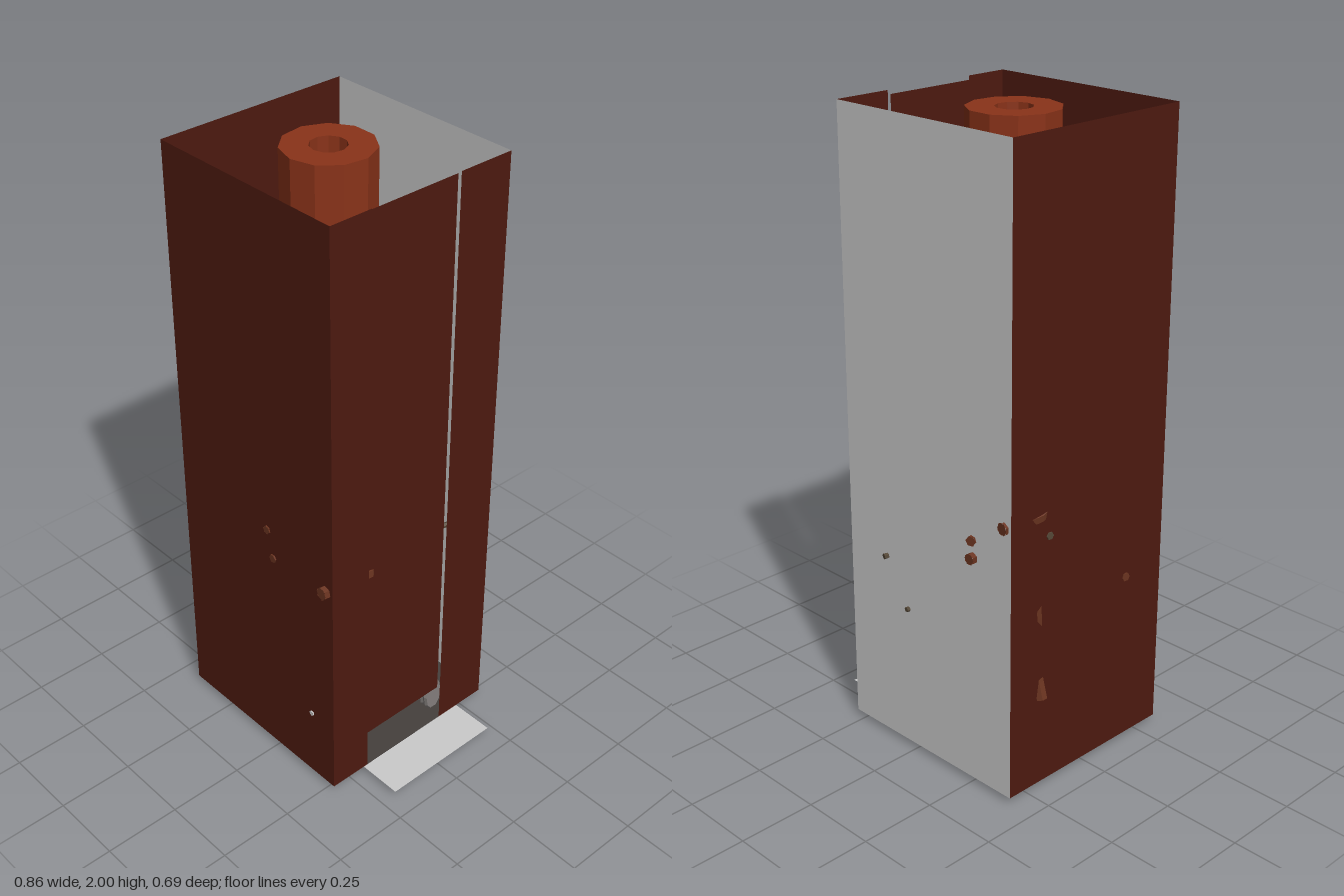
import * as THREE from 'three';

const mat = (color) => new THREE.MeshStandardMaterial({ color, flatShading: true, side: THREE.DoubleSide });
const M = {
  rust: mat(0x4e1a10), grey: mat(0xcccccc), floor: mat(0x45403d), pipe: mat(0x8a3319),
  cable: mat(0x6a3420), thin: mat(0x554838), base: mat(0x85807e), white: mat(0xe6e6e6),
};

// Shaft limits
const X0 = -0.415, X1 = 0.278, Z = 0.328, Y0 = 0.02, Y1 = 2;
const CX = -0.1, CZ = -0.005;

export function createModel() {
  const root = new THREE.Group();
  const add = (name, geo, material) => {
    const mesh = new THREE.Mesh(geo, material);
    mesh.name = name;
    root.add(mesh);
    return mesh;
  };

  // Flat sheet facing +z (turn = 0), +x (turn = PI/2) and so on
  const wall = (name, w, y0, y1, x, z, turn, material) => {
    const m = add(name, new THREE.PlaneGeometry(w, y1 - y0), material);
    m.position.set(x, (y0 + y1) / 2, z);
    m.rotation.y = turn;
  };
  const sheet = (name, x0, x1, z0, z1, y, material) => {
    const m = add(name, new THREE.PlaneGeometry(x1 - x0, z1 - z0).rotateX(-Math.PI / 2), material);
    m.position.set((x0 + x1) / 2, y, (z0 + z1) / 2);
  };

  // Open-topped shaft
  const W = X1 - X0, mid = (X0 + X1) / 2, q = Math.PI / 2;
  wall('frontWall', W, Y0, Y1, mid, Z, 0, M.rust);
  wall('backWall', W, Y0, Y1, mid, -Z, Math.PI, M.grey);
  wall('rightHandWall', 2 * Z, Y0, Y1, X0, 0, -q, M.rust);
  wall('doorJambFront', Z - 0.185, Y0, Y1, X1, (Z + 0.185) / 2, q, M.rust);
  wall('doorJambBack', Z - 0.138, Y0, Y1, X1, -(Z + 0.138) / 2, q, M.rust);
  wall('doorPanel', 0.323, 0.145, 1.99, X1 - 0.012, 0.0235, q, M.rust);
  sheet('floor', X0, X1, -Z, Z, Y0, M.floor);
  sheet('doorstep', X1, 0.425, -0.22, 0.2, Y0, M.grey);

  // Central pipe with a thick rim and a recessed bore
  const profile = [[0.14, Y0], [0.14, 1.99], [0.056, 1.99], [0.056, 1.87], [0, 1.87]]
    .map(([r, y]) => new THREE.Vector2(r, y));
  add('centralPipe', new THREE.LatheGeometry(profile, 11), M.pipe).position.set(CX, 0, CZ);

  // Ragged base skirt around the pipe foot
  const skirt = new THREE.CylinderGeometry(0.15, 0.18, 0.035, 40);
  const p = skirt.attributes.position;
  for (let i = 0; i < p.count; i++) {
    const a = Math.atan2(p.getZ(i), p.getX(i));
    const k = 1 + 0.03 * Math.sin(9 * a) + 0.02 * Math.sin(17 * a + 1);
    p.setX(i, p.getX(i) * k);
    p.setZ(i, p.getZ(i) * k);
  }
  skirt.computeVertexNormals();
  add('baseSkirt', skirt, M.base).position.set(CX - 0.005, 0.038, -0.01);
  add('baseBlock', new THREE.BoxGeometry(0.16, 0.04, 0.18), M.base).position.set(-0.005, 0.04, 0.03);

  // Ribbed duct running along the floor
  const ribs = [new THREE.Vector2(0, -0.16)];
  for (let i = 0; i <= 32; i++) ribs.push(new THREE.Vector2(i % 2 ? 0.036 : 0.032, -0.16 + i * 0.01));
  ribs.push(new THREE.Vector2(0, 0.16));
  const duct = add('ribbedDuct', new THREE.LatheGeometry(ribs, 10).rotateZ(-q).scale(1, 1.9, 1), M.base);
  duct.position.set(0.07, 0.074, -0.16);

  // Angular cables: straight runs with short rounded corners
  const cable = (name, r, pts, material) => {
    const v = pts.map((c) => new THREE.Vector3(...c));
    const path = new THREE.CatmullRomCurve3(v, false, 'catmullrom', 0.25);
    add(name, new THREE.TubeGeometry(path, (v.length - 1) * 4, r, 6), material);
    // closed ends
    [[0, -1], [1, 1]].forEach(([t, s]) => {
      const cap = add(name + 'End', new THREE.CircleGeometry(r, 6), material);
      cap.position.copy(path.getPoint(t));
      cap.lookAt(cap.position.clone().addScaledVector(path.getTangent(t), s));
    });
  };
  // Front cables
  cable('frontThickCable', 0.021, [[0.02, 0.95, 0.03], [0.08, 0.93, 0.07], [0.15, 0.84, 0.14],
    [0.245, 0.79, 0.145], [0.257, 0.8, 0.2], [0.247, 0.805, 0.345]], M.cable);
  [[0, 0.885, -0.012], [0.025, 0.79, 0.012]].forEach(([dx, y, ex]) =>
    cable('frontCable', 0.014, [[-0.08 + dx / 2, y + 0.08, 0.12], [-0.07 + dx, y + 0.06, 0.17],
      [0 + dx, y + 0.03, 0.19], [0.035 + dx, y, 0.24], [-0.012 + dx, y, 0.28], [ex, y, 0.333]], M.cable));
  // Side cables
  cable('sideThickCable', 0.02, [[-0.22, 1, -0.04], [-0.33, 0.98, -0.055], [-0.375, 0.94, -0.1],
    [-0.4, 0.9, -0.2], [-0.386, 0.9, -0.336]], M.cable);
  cable('sideCable', 0.014, [[-0.2, 0.7, 0.05], [-0.28, 0.67, 0.1], [-0.32, 0.61, 0.165],
    [-0.37, 0.58, 0.175], [-0.42, 0.58, 0.165]], M.cable);
  cable('sideLoopCable', 0.012, [[-0.2, 0.78, 0.06], [-0.3, 0.74, 0.11], [-0.37, 0.7, 0.165],
    [-0.402, 0.7, 0.1], [-0.39, 0.73, 0.03], [-0.32, 0.77, 0.02], [-0.3, 0.8, -0.05],
    [-0.33, 0.83, -0.13], [-0.395, 0.835, -0.17], [-0.42, 0.835, -0.173]], M.thin);
  // Back cables
  cable('backBentCable', 0.016, [[-0.13, 0.95, -0.12], [-0.155, 0.94, -0.18], [-0.125, 0.9, -0.25],
    [-0.19, 0.86, -0.3], [-0.245, 0.82, -0.285], [-0.263, 0.82, -0.338]], M.cable);
  cable('backElbowCable', 0.018, [[-0.263, 0.765, -0.345], [-0.263, 0.765, -0.25], [-0.29, 0.75, -0.22],
    [-0.385, 0.72, -0.22], [-0.4, 0.6, -0.21], [-0.395, 0.4, -0.2], [-0.418, 0.31, -0.2]], M.cable);
  cable('backShortCable', 0.012, [[-0.34, 0.72, -0.325], [-0.34, 0.72, -0.25], [-0.365, 0.71, -0.215]], M.cable);
  cable('backThinCable', 0.008, [[-0.03, 0.62, -0.11], [0.015, 0.6, -0.16], [0.03, 0.54, -0.24],
    [0.015, 0.49, -0.28], [0.02, 0.49, -0.338]], M.thin);
  cable('backThinCable', 0.009, [[-0.02, 0.75, -0.11], [0.015, 0.72, -0.17], [0.08, 0.66, -0.21],
    [0.095, 0.64, -0.26], [0.115, 0.637, -0.34]], M.thin);
  // White wires in the front corner
  cable('whiteWire', 0.009, [[0.133, 0.26, 0.285], [0.155, 0.27, 0.265], [0.18, 0.27, 0.28],
    [0.178, 0.27, 0.332]], M.white);
  cable('whiteWire', 0.009, [[0.178, 0.26, 0.3], [0.195, 0.22, 0.265], [0.225, 0.12, 0.262],
    [0.238, 0.0, 0.265]], M.white);
  return root;
}
